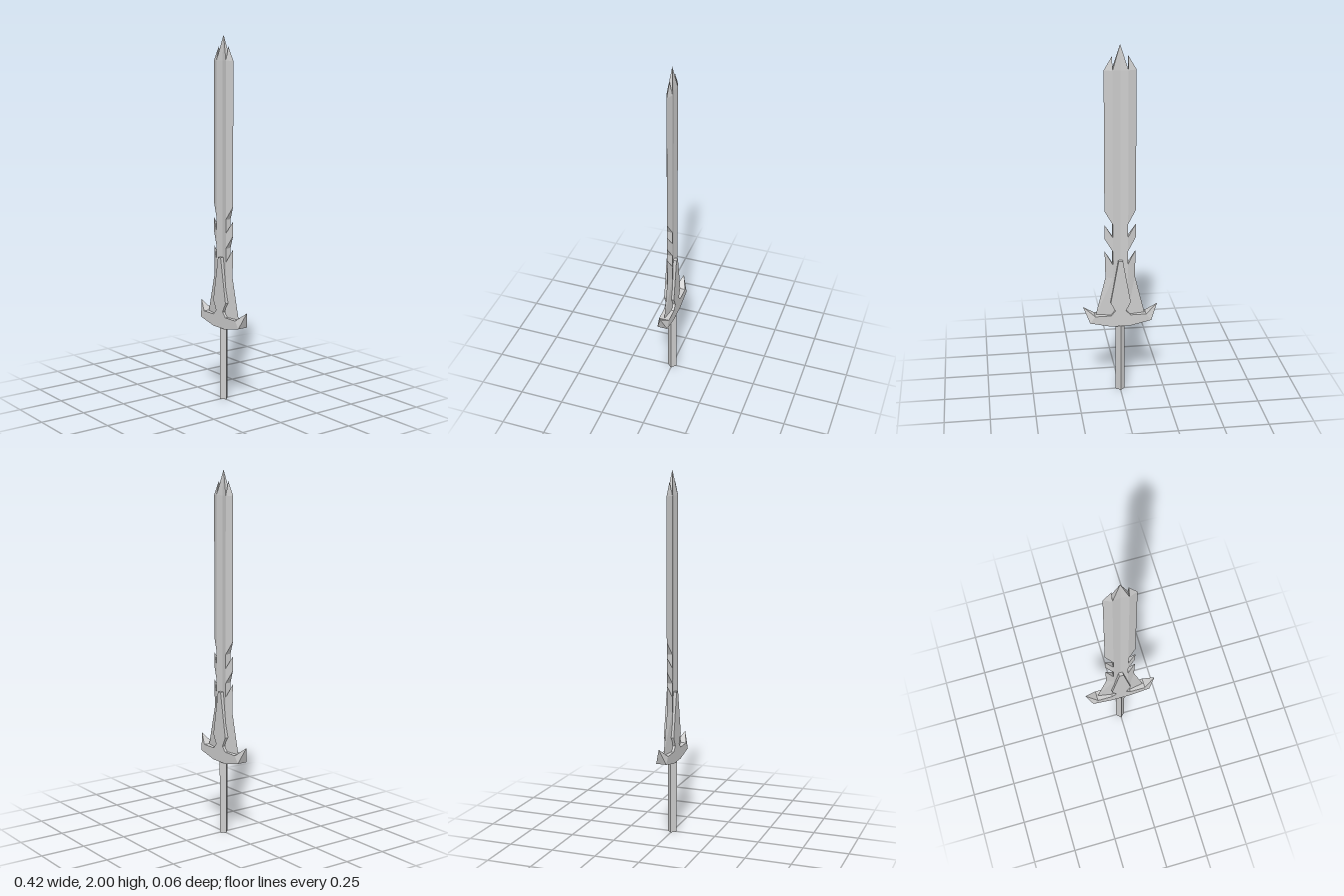
import * as THREE from 'three';

const steel = new THREE.MeshStandardMaterial({ color: 0xcccccc, flatShading: true });
steel.name = 'steel';

// Fan-triangulates polygons given for the +x +z quarter and mirrors them in x and z.
function mirroredMesh(name, polygons) {
  const pos = [];
  for (const sx of [1, -1]) for (const sz of [1, -1]) {
    for (const poly of polygons) {
      const p = poly.map(([x, y, z]) => [x * sx, y, z * sz]);
      if (sx * sz < 0) p.reverse();
      for (let i = 1; i < p.length - 1; i++) pos.push(...p[0], ...p[i], ...p[i + 1]);
    }
  }
  const geo = new THREE.BufferGeometry();
  geo.setAttribute('position', new THREE.Float32BufferAttribute(pos, 3));
  geo.computeVertexNormals();
  const mesh = new THREE.Mesh(geo, steel);
  mesh.name = name;
  return mesh;
}

function createBlade() {
  const X = 0.042, R = 0.016, E = 0.086, F = 0.008; // ridge x, ridge z, edge x, fuller z
  const ridge = (y) => [X, y, R];
  const mid = (y) => [X, y, 0];
  const edge = (y, x = E) => [x, y, 0];
  const up = (yr, ye) => [ridge(yr), edge(ye), mid(yr)];    // notch floor
  const down = (yr, ye) => [ridge(yr), mid(yr), edge(ye)];  // notch ceiling
  const wall = (a, b) => [ridge(a), mid(a), mid(b), ridge(b)];
  return mirroredMesh('blade', [
    // shallow fuller and centre point
    [[0, 0.46, F], ridge(0.46), ridge(1.865), [0, 1.865, F]],
    [[0, 1.865, F], ridge(1.865), [0, 2, 0]],
    [ridge(1.865), mid(1.865), [0, 2, 0]],
    // flared base
    [ridge(0.476), edge(0.476, 0.137), edge(0.7, 0.082), ridge(0.7)],
    [ridge(0.7), edge(0.7, 0.082), edge(0.857), ridge(0.78)],
    down(0.476, 0.476).map((p, i) => (i === 2 ? edge(0.476, 0.137) : p)),
    up(0.78, 0.857), wall(0.78, 0.857),
    // middle barb
    down(0.857, 0.93),
    [ridge(0.857), edge(0.93), edge(1.01), ridge(0.94)],
    up(0.94, 1.01), wall(0.94, 1.016),
    // long cutting edge and side point
    down(1.016, 1.09),
    [ridge(1.016), edge(1.09), edge(1.865), ridge(1.865)],
    [ridge(1.865), edge(1.865), edge(1.94, X)],
    [ridge(1.865), edge(1.94, X), mid(1.865)],
  ]);
}

function createGuard() {
  const R = 0.029;
  const guard = new THREE.Group();
  guard.name = 'guard';

  // flat body with the tall central plate
  const half = [[0.055, 0.41], [0.172, 0.437], [0.143, 0.476], [0.055, 0.476],
    [0.03, 0.503], [0.056, 0.555], [0.012, 0.803]];
  const left = half.map(([x, y]) => [-x, y]).reverse();
  const shape = new THREE.Shape([...half, ...left].map(([x, y]) => new THREE.Vector2(x, y)));
  const geo = new THREE.ExtrudeGeometry(shape, { depth: 2 * R, bevelEnabled: false });
  geo.translate(0, 0, -R);
  const body = new THREE.Mesh(geo, steel);
  body.name = 'guardBody';

  // upswept pointed horns
  const a = [0.143, 0.476], b = [0.172, 0.437], tip = [0.209, 0.528, 0];
  const horns = mirroredMesh('guardHorns', [
    [[...a, R], [...b, R], tip],
    [[...b, R], [...b, 0], tip],
    [[...a, R], tip, [...a, 0]],
  ]);
  guard.add(body, horns);
  return guard;
}

export function createModel() {
  const sword = new THREE.Group();
  sword.name = 'sword';

  // diamond-section grip
  const grip = new THREE.Mesh(new THREE.CylinderGeometry(0.026, 0.026, 0.42, 4), steel);
  grip.name = 'grip';
  grip.position.y = 0.21;

  sword.add(createBlade(), createGuard(), grip);
  return sword;
}
